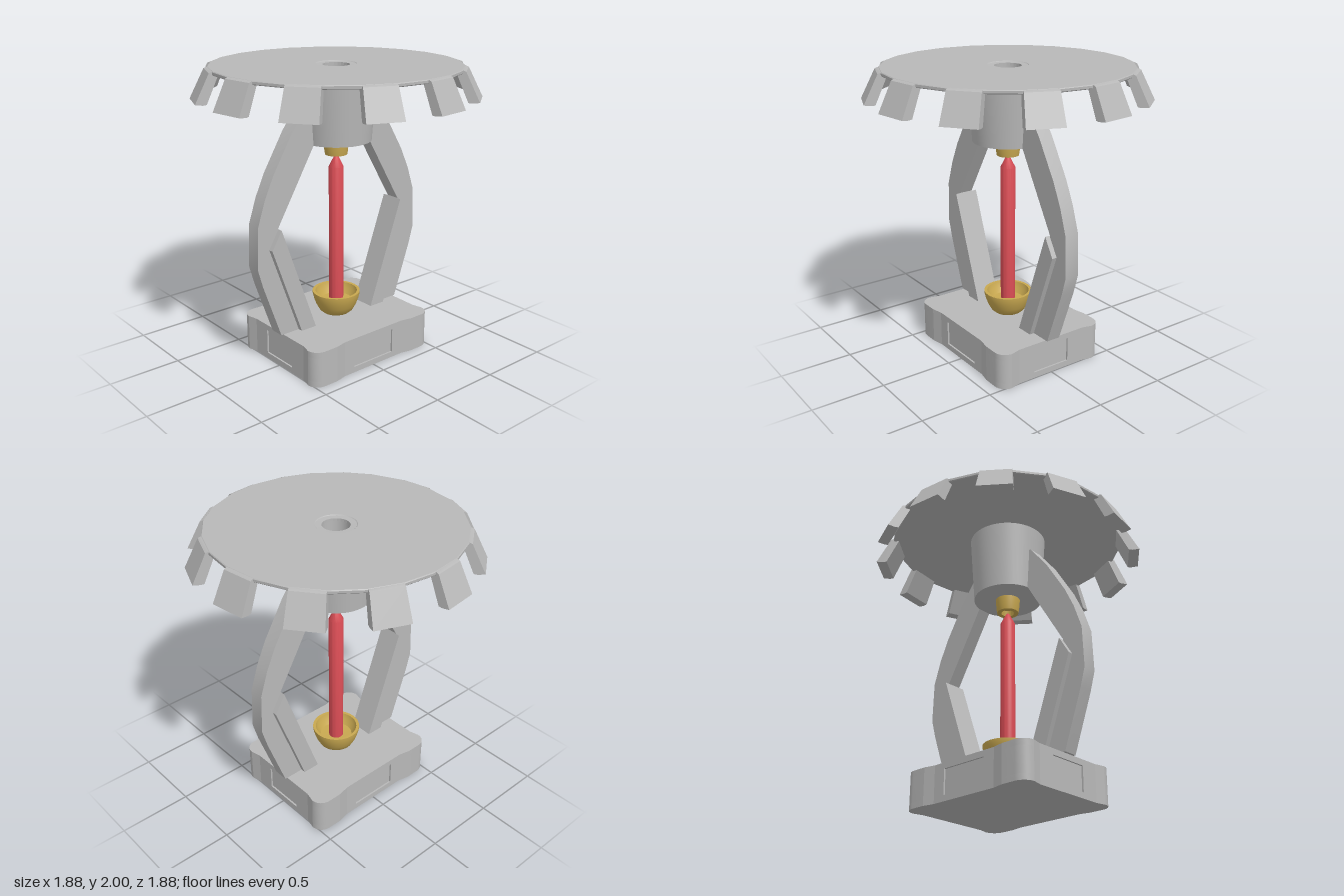
import * as THREE from 'three';
import { toCreasedNormals } from 'three/addons/utils/BufferGeometryUtils.js';

const material = (name, color) => {
  const m = new THREE.MeshStandardMaterial({ color });
  m.name = name;
  return m;
};
const vecs = (pts) => pts.map(([a, b]) => new THREE.Vector2(a, b));

export function createModel() {
  const steel = material('steel', 0xb8b8b8);
  const brass = material('brass', 0xc8a850);
  const red = material('red glass', 0xd84c54);
  const model = new THREE.Group();
  model.name = 'sprinklerHead';

  function add(parent, name, geometry, mat, crease = 0.5) {
    const mesh = new THREE.Mesh(toCreasedNormals(geometry, crease), mat);
    mesh.name = name;
    parent.add(mesh);
    return mesh;
  }
  const lathe = (pts, segments = 40) => new THREE.LatheGeometry(vecs(pts), segments);

  // Profile given as (z, y), extruded symmetrically along x
  function sideProfile(pts, width) {
    const g = new THREE.ExtrudeGeometry(new THREE.Shape(vecs(pts)), { depth: width, bevelEnabled: false });
    return g.translate(0, 0, -width / 2).rotateY(-Math.PI / 2);
  }

  // Base: raised rounded corners, with a middle layer notched for the sunken panels
  function baseOutline(notched) {
    const q = notched ? [[0.386, 0], [0.386, 0.17], [0.398, 0.17]] : [];
    q.push([0.398, 0.255], [0.415, 0.335]);
    for (let i = 0; i <= 10; i++) {
      const a = (i / 10) * Math.PI / 2;
      q.push([0.335 + 0.08 * Math.cos(a), 0.435 + 0.08 * Math.sin(a)]);
    }
    q.push([0.265, 0.498]);
    if (notched) q.push([0.14, 0.498], [0.14, 0.486]);
    const half = [...q, ...q.map(([x, z]) => [-x, z]).reverse()];
    const all = [...half, ...half.map(([x, z]) => [-x, -z])];
    return new THREE.Shape(vecs(all.filter((p, i) => {
      const n = all[(i + 1) % all.length];
      return Math.hypot(p[0] - n[0], p[1] - n[1]) > 1e-6;
    })));
  }
  const base = new THREE.Group();
  base.name = 'base';
  model.add(base);
  [['baseBottom', 0, 0.04, false], ['basePanels', 0.04, 0.21, true], ['baseTop', 0.21, 0.25, false]]
    .forEach(([name, y0, y1, notched]) => {
      const g = new THREE.ExtrudeGeometry(baseOutline(notched), { depth: y1 - y0, bevelEnabled: false });
      add(base, name, g.rotateX(-Math.PI / 2).translate(0, y0, 0), steel, 0.19);
    });

  // Pair of bowed frame arms, each with a wider rib on its inner side
  const armPts = [
    [0.515, 0.25], [0.65, 0.63], [0.687, 0.76], [0.677, 1.04], [0.62, 1.21], [0.55, 1.36],
    [0.4, 1.61], [0.26, 1.79], [0.18, 1.82], [0.18, 1.5], [0.23, 1.5], [0.525, 1.0], [0.3, 0.25],
  ];
  const ribPts = [[0.25, 0.25], [0.37, 0.25], [0.595, 0.875], [0.52, 1.0]];
  for (const turn of [0, Math.PI]) {
    const arm = new THREE.Group();
    arm.name = turn ? 'backArm' : 'frontArm';
    arm.rotation.y = turn;
    add(arm, 'armBow', sideProfile(armPts, 0.1), steel);
    add(arm, 'armRib', sideProfile(ribPts, 0.17), steel);
    model.add(arm);
  }

  // Tapered hub with a bore
  add(model, 'hub', lathe([[0.083, 1.5], [0.235, 1.5], [0.268, 1.98], [0.09, 1.98], [0.083, 1.5]], 48), steel);

  // Deflector disc with a shallow dish around the bore
  add(model, 'deflectorDisc', lathe([
    [0.09, 1.975], [0.82, 1.975], [0.825, 1.98], [0.825, 1.995], [0.82, 2],
    [0.135, 2], [0.13, 1.996], [0.09, 1.994], [0.09, 1.975],
  ], 24), steel, 0.2);

  // Twelve bent-down tabs on every second edge of the disc, widening downwards
  const tabPts = [[0.78, 1.978], [0.86, 1.8], [0.883, 1.797], [0.932, 1.803], [0.838, 1.99], [0.82, 1.998], [0.79, 1.998]];
  for (let i = 0; i < 12; i++) {
    const g = sideProfile(tabPts, 2);
    const p = g.attributes.position;
    for (let k = 0; k < p.count; k++) {
      p.setX(k, p.getX(k) * (0.105 + (2 - p.getY(k)) * 0.06));
    }
    add(model, 'deflectorTab', g, steel).rotation.y = (7.5 + 30 * i) * Math.PI / 180;
  }

  // Brass screw in the hub, hollow at its lower end
  add(model, 'screw', lathe([
    [0, 1.44], [0.04, 1.44], [0.045, 1.4], [0.074, 1.4], [0.079, 1.43], [0.085, 1.5],
    [0.085, 1.6], [0, 1.6],
  ]), brass);

  // Glass bulb
  add(model, 'bulb', lathe([[0, 0.3], [0.05, 0.3], [0.05, 1.315], [0.012, 1.39], [0, 1.4]]), red);

  // Brass cup holding the bulb
  add(model, 'cup', lathe([
    [0, 0.25], [0.06, 0.255], [0.095, 0.265], [0.118, 0.285], [0.14, 0.325], [0.155, 0.365],
    [0.164, 0.4], [0.165, 0.42], [0.145, 0.42], [0.135, 0.385], [0.11, 0.35], [0, 0.34],
  ]), brass);

  return model;
}
